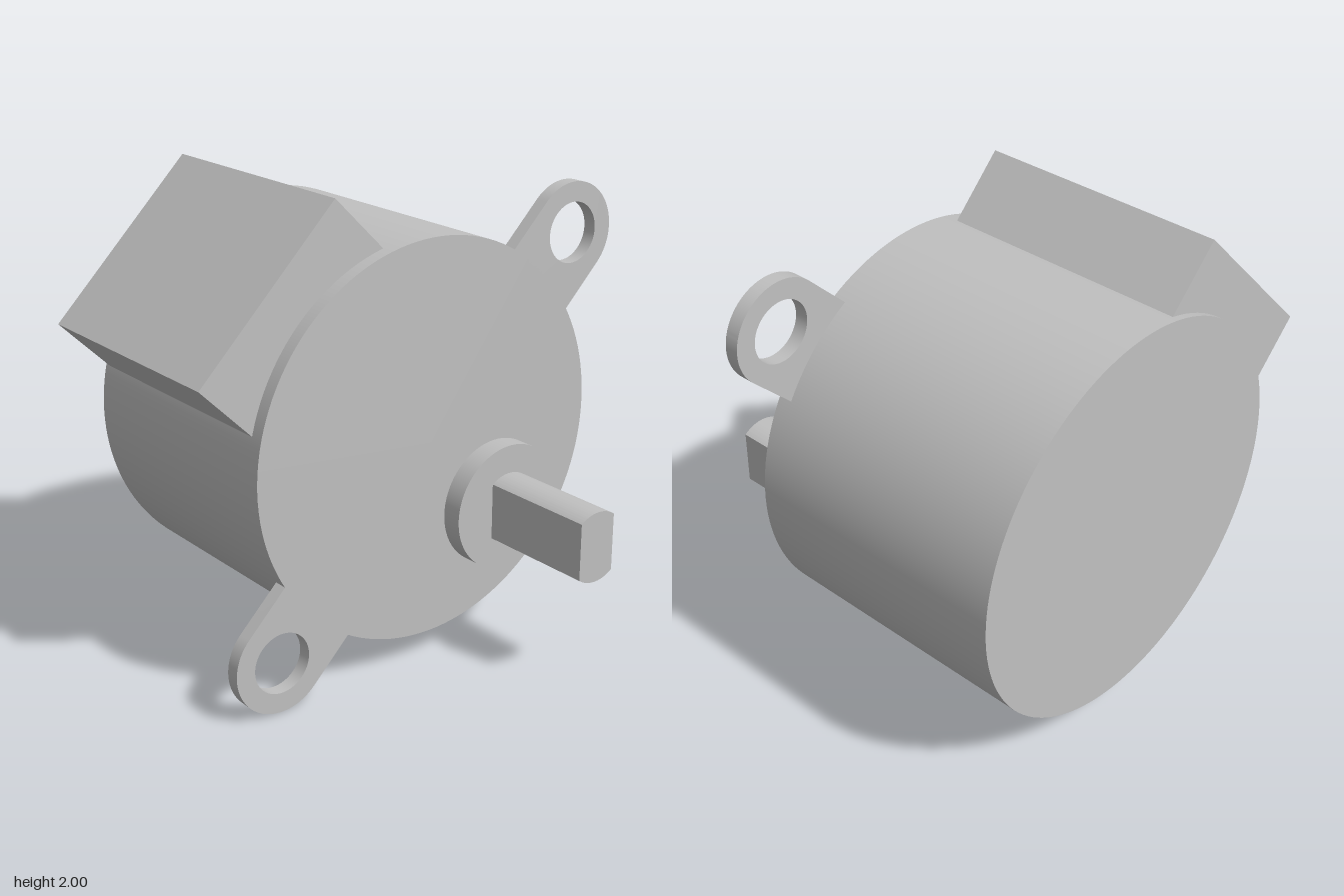
import * as THREE from 'three';
import { toCreasedNormals } from 'three/addons/utils/BufferGeometryUtils.js';

export function createModel() {
  const model = new THREE.Group();
  model.name = 'gearMotor';
  const metal = new THREE.MeshStandardMaterial({ color: 0xc0c0c0 });
  metal.name = 'light grey metal';

  const AXIS_X = 0.04, AXIS_Y = 0.96, R = 0.84;
  const FRONT = 0.27, BACK = -0.875, PLATE_BACK = 0.21;

  const add = (name, geometry, parent = model) => {
    const mesh = new THREE.Mesh(geometry, metal);
    mesh.name = name;
    parent.add(mesh);
    return mesh;
  };
  // Disc or drum lying along z
  const drum = (r, z0, z1, x, y) =>
    new THREE.CylinderGeometry(r, r, z1 - z0, 128).rotateX(Math.PI / 2).translate(x, y, (z0 + z1) / 2);
  // Prism along z with smooth curved walls
  const prism = (shape, z0, z1) => toCreasedNormals(
    new THREE.ExtrudeGeometry(shape, { depth: z1 - z0, bevelEnabled: false, curveSegments: 32 }).translate(0, 0, z0), 0.5);
  // Group on the motor axis whose local x points outwards at the given angle
  const radial = (name, angle) => {
    const group = new THREE.Group();
    group.name = name;
    group.position.set(AXIS_X, AXIS_Y, 0);
    group.rotation.z = angle;
    model.add(group);
    return group;
  };

  // Motor can
  add('body', drum(R, BACK, FRONT, AXIS_X, AXIS_Y));

  // Two mounting ears with screw holes, flush with the front face
  const earR = 0.212, earAt = 1.054, innerR = R - 0.008;
  const a = Math.asin(earR / innerR);
  const ear = new THREE.Shape();
  ear.moveTo(innerR * Math.cos(a), -earR);
  ear.lineTo(earAt, -earR);
  ear.absarc(earAt, 0, earR, -Math.PI / 2, Math.PI / 2, false);
  ear.lineTo(innerR * Math.cos(a), earR);
  ear.absarc(0, 0, innerR, a, -a, true);
  ear.holes.push(new THREE.Path().absarc(earAt, 0, 0.128, 0, Math.PI * 2, true));
  const earGeometry = prism(ear, PLATE_BACK, FRONT);
  [['leftEar', Math.PI / 4], ['rightEar', -Math.PI * 3 / 4]].forEach(([name, angle]) =>
    add(name, earGeometry, radial(name + 'Mount', angle)));

  // Square wire housing on the upper right side of the can
  const inner = 0.6, outer = 1.034, z0 = -0.845;
  add('wireHousing',
    new THREE.BoxGeometry(outer - inner, 0.874, PLATE_BACK - z0)
      .translate((inner + outer) / 2, 0, (PLATE_BACK + z0) / 2),
    radial('wireHousingMount', Math.PI * 3 / 4));

  // Offset boss and double-flat output shaft
  const sx = 0.384, sy = 0.62;
  add('shaftBoss', drum(0.27, FRONT, 0.36, sx, sy));
  const shaftR = 0.149, b = Math.acos(0.088 / shaftR);
  const section = new THREE.Shape();
  section.absarc(0, 0, shaftR, b, Math.PI - b, false);
  section.absarc(0, 0, shaftR, Math.PI + b, Math.PI * 2 - b, false);
  section.closePath();
  add('outputShaft', prism(section, 0.36, 0.875)).position.set(sx, sy, 0);

  return model;
}
